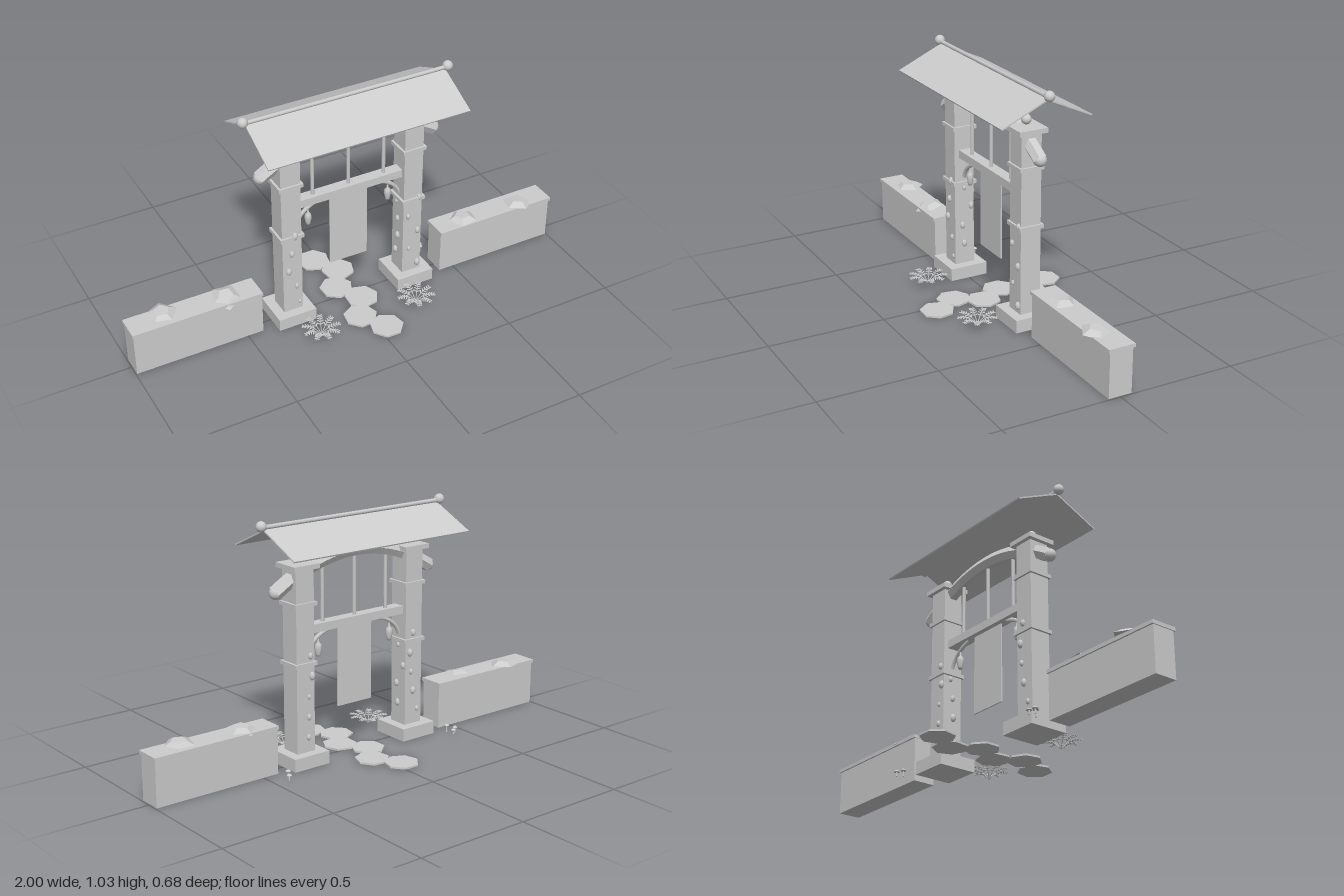
import * as THREE from 'three';

export function createModel() {
  const root = new THREE.Group();
  root.name = 'gardenGate';
  const grey = new THREE.MeshStandardMaterial({ color: 0xcccccc });
  grey.name = 'paleGrey';
  const sheet = grey;

  const add = (name, geo, x = 0, y = 0, z = 0, parent = root) => {
    const m = new THREE.Mesh(geo, sheet);
    m.name = name;
    m.position.set(x, y, z);
    parent.add(m);
    return m;
  };
  // box given by its centre in x and z and its bottom and top
  const box = (name, x, y0, y1, z, w, d) =>
    add(name, new THREE.BoxGeometry(w, y1 - y0, d), x, (y0 + y1) / 2, z);
  const ball = (name, r, x, y, z) => add(name, new THREE.SphereGeometry(r, 14, 10), x, y, z);
  const flat = (g) => {
    const f = g.index ? g.toNonIndexed() : g;
    f.computeVertexNormals();
    return f;
  };
  const v = (x, y, z = 0) => new THREE.Vector3(x, y, z);
  let seed = 7;
  const rnd = () => (seed = (seed * 16807) % 2147483647) / 2147483647;

  for (const s of [-1, 1]) {
    // low side walls with coping
    box('sideWall', s * 0.713, 0, 0.19, 0, 0.565, 0.1);
    box('wallCoping', s * 0.714, 0.19, 0.205, 0, 0.572, 0.115);

    // pillars
    const px = s * 0.285;
    box('pillarPlinth', px, 0, 0.055, 0, 0.172, 0.172);
    box('pillarShaft', px, 0.055, 0.82, 0, 0.088, 0.09);
    box('pillarBand', px, 0.42, 0.436, 0, 0.108, 0.108);
    box('pillarBand', px, 0.668, 0.684, 0, 0.108, 0.108);
    box('pillarCap', px, 0.82, 0.84, 0, 0.126, 0.126);
    ball('pillarFinial', 0.021, px, 0.867, 0);

    // end knobs of arch and ridge
    ball('archKnob', 0.027, s * 0.395, 0.733, 0);
    ball('ridgeKnob', 0.022, s * 0.458, 1.006, 0);

    // curved bracket and hanging bell
    const bend = new THREE.QuadraticBezierCurve3(v(s * 0.243, 0.455), v(s * 0.215, 0.525), v(s * 0.125, 0.545));
    add('bracket', new THREE.TubeGeometry(bend, 12, 0.009, 6));
    const bell = [[0, 0], [0.008, 0], [0.011, 0.01], [0.016, 0.035], [0.013, 0.052], [0.004, 0.062], [0.003, 0.085], [0, 0.085]]
      .map((p) => new THREE.Vector2(p[0], p[1]));
    add('hangingBell', new THREE.LatheGeometry(bell, 8), s * 0.187, 0.435, 0);
  }

  // arched top beam of six-sided section and straight lower beam
  const archPts = [];
  for (let i = -8; i <= 8; i++) {
    const t = i / 8;
    archPts.push(v(t * 0.4, 0.858 - 0.128 * t * t));
  }
  add('archBeam', flat(new THREE.TubeGeometry(new THREE.CatmullRomCurve3(archPts), 24, 0.031, 6)));
  box('lowerBeam', 0, 0.545, 0.58, 0, 0.49, 0.05);
  for (const x of [-0.165, 0, 0.165]) {
    const top = 0.858 - 0.8 * x * x;
    add('latticeRod', new THREE.CylinderGeometry(0.008, 0.008, top - 0.57, 8), x, (top + 0.57) / 2, 0);
  }

  // hanging cloth
  box('hangingCloth', 0, 0.2, 0.55, 0, 0.176, 0.006);

  // roof slopes and ridge pole
  for (const s of [-1, 1]) {
    const slope = add('roofSlope', new THREE.BoxGeometry(0.895, 0.006, 0.218), 0, 0.945, s * 0.099);
    slope.rotation.x = s * Math.atan2(0.09, 0.198);
  }
  const ridge = add('ridgePole', new THREE.CylinderGeometry(0.009, 0.009, 0.92, 8), 0, 1.002, 0);
  ridge.rotation.z = Math.PI / 2;

  // flat rocks resting on the walls: x, z, turn, tilt
  for (const [x, z, turn, tilt] of [[-0.845, -0.02, 0.4, 0.06], [-0.575, 0.01, 1.1, 0.17], [0.57, 0, 2, -0.05], [0.85, 0.015, 0.1, -0.1]]) {
    const rock = add('wallRock', flat(new THREE.CylinderGeometry(0.034, 0.066, 0.02, 5)), x, 0.213, z);
    rock.rotation.set(tilt * 0.6, turn, tilt);
  }

  // winding stepping stones
  for (let i = 0; i < 6; i++) {
    const stone = add('steppingStone', flat(new THREE.CylinderGeometry(0.073, 0.073, 0.008, 7)),
      i % 2 ? 0.036 : -0.03, 0.004, -0.272 + i * 0.109);
    stone.rotation.y = i * 0.8;
  }

  // moss lumps on the pillars
  for (const s of [-1, 1]) {
    for (let i = 0; i < 14; i++) {
      const r = 0.007 + rnd() * 0.006;
      const y = 0.09 + (i / 14) * 0.4;
      const off = (rnd() - 0.5) * 0.07;
      const face = i % 3;
      const lump = face === 2
        ? add('mossLump', new THREE.IcosahedronGeometry(r, 1), s * 0.285 - s * 0.045, y, off)
        : add('mossLump', new THREE.IcosahedronGeometry(r, 1), s * 0.285 + off, y, face ? -0.047 : 0.047);
      lump.scale.y = 1.5;
    }
  }

  // ferns: arching fronds with paired leaflets
  for (const s of [-1, 1]) {
    const fern = new THREE.Group();
    fern.name = 'fern';
    fern.position.set(s * 0.228, 0, 0.187);
    root.add(fern);
    for (let i = 0; i < 9; i++) {
      const frond = new THREE.Group();
      frond.name = 'frond';
      frond.rotation.y = (i / 9) * Math.PI * 2 + s * 0.2;
      fern.add(frond);
      const stem = new THREE.QuadraticBezierCurve3(v(0, 0), v(0.04, 0.052), v(0.084, 0.036));
      add('frondStem', new THREE.TubeGeometry(stem, 8, 0.0022, 4), 0, 0, 0, frond);
      for (let k = 3; k < 8; k++) {
        for (const side of [-1, 1]) {
          const p = stem.getPoint(k / 8);
          const len = 0.022 - k * 0.0015;
          const leaf = add('leaflet', new THREE.BoxGeometry(0.005, 0.002, len), p.x + 0.004, p.y, side * len * 0.45, frond);
          leaf.rotation.y = side * 0.6;
        }
      }
    }
  }

  // small mushrooms behind the pillars: x, z, height
  for (const [x, z, h] of [[-0.45, -0.135, 0.022], [-0.425, -0.11, 0.03], [-0.43, -0.148, 0.018], [0.425, -0.11, 0.028], [0.437, -0.135, 0.02]]) {
    add('mushroomStem', new THREE.CylinderGeometry(0.003, 0.004, h, 6), x, h / 2, z);
    const cap = [[0, 0], [0.012, 0], [0.011, 0.004], [0.006, 0.008], [0, 0.009]].map((p) => new THREE.Vector2(p[0], p[1]));
    add('mushroomCap', new THREE.LatheGeometry(cap, 10), x, h - 0.002, z);
  }
  return root;
}
